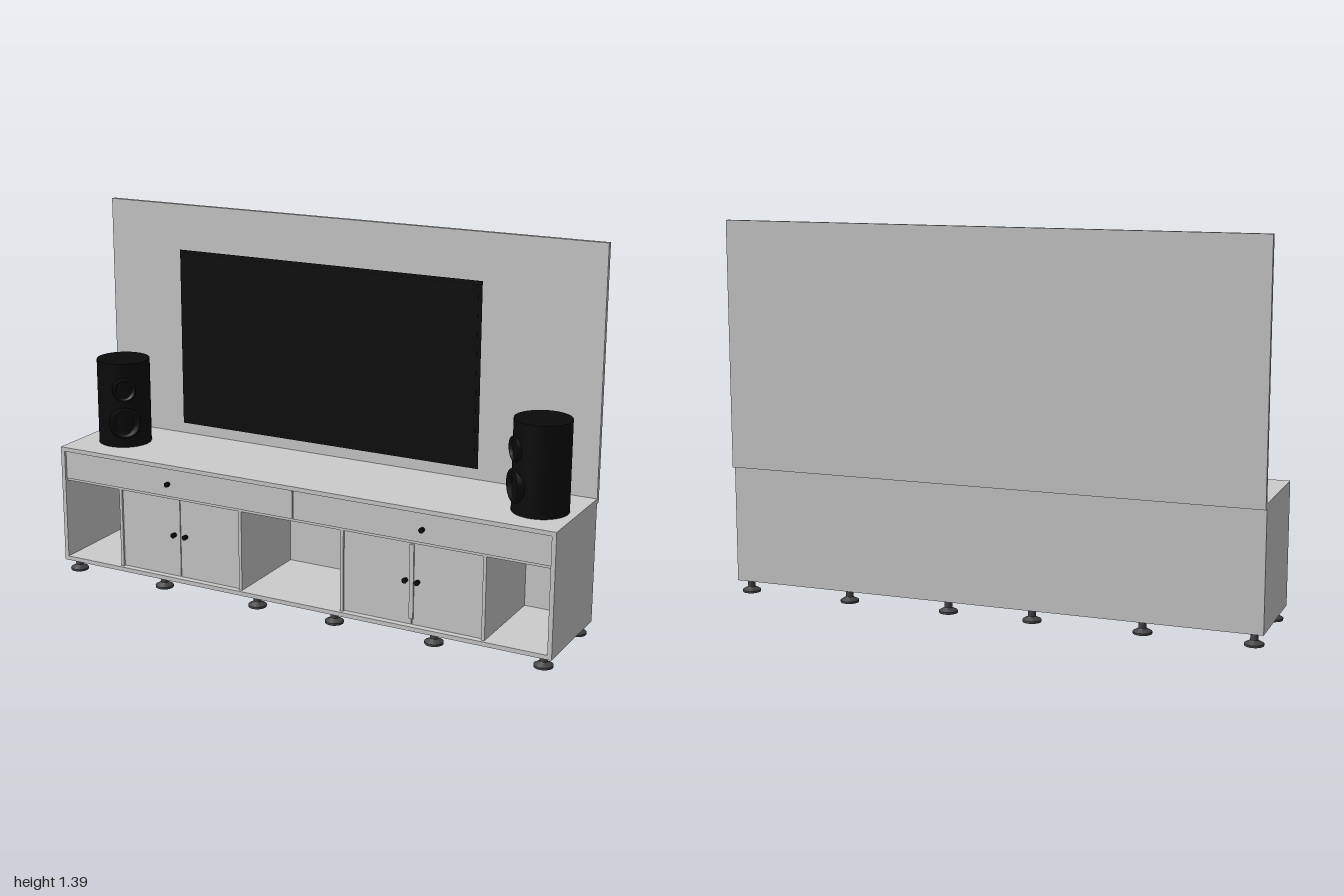
import * as THREE from 'three';

const mat = (color, extra = {}) => new THREE.MeshStandardMaterial({ color, ...extra });
const grey = mat(0xcccccc);
const black = mat(0x0a0a0a);
const blackFlat = mat(0x0a0a0a, { flatShading: true });
const metal = mat(0x444444);

function add(parent, name, geometry, material, x = 0, y = 0, z = 0) {
  const mesh = new THREE.Mesh(geometry, material);
  mesh.name = name;
  mesh.position.set(x, y, z);
  parent.add(mesh);
  return mesh;
}

// Box given by its min and max on each axis
function block(parent, name, [x0, x1], [y0, y1], [z0, z1], material = grey) {
  return add(parent, name, new THREE.BoxGeometry(x1 - x0, y1 - y0, z1 - z0), material,
    (x0 + x1) / 2, (y0 + y1) / 2, (z0 + z1) / 2);
}

function knob(parent, x, y, z) {
  const geo = new THREE.CylinderGeometry(0.01, 0.008, 0.016, 16).rotateX(Math.PI / 2);
  add(parent, 'knob', geo, black, x, y, z + 0.008);
}

function group(parent, name) {
  const g = new THREE.Group();
  g.name = name;
  parent.add(g);
  return g;
}

function buildCabinet(root) {
  const g = group(root, 'cabinet');
  const back = -0.187, front = 0.2, t = 0.016;
  // Carcass
  block(g, 'cabinetTop', [-1, 1], [0.484, 0.5], [back, front]);
  block(g, 'cabinetFloor', [-1, 1], [0.045, 0.061], [back, front]);
  block(g, 'cabinetBack', [-1 + t, 1 - t], [0.061, 0.484], [back, back + 0.012]);
  for (const s of [-1, 1]) {
    block(g, 'cabinetSide', s < 0 ? [-1, -1 + t] : [1 - t, 1], [0.061, 0.484], [back, front]);
  }
  block(g, 'drawerShelf', [-1 + t, 1 - t], [0.366, 0.38], [back + 0.012, 0.188]);
  for (const x of [-0.74, -0.218, 0.2, 0.745]) {
    block(g, 'divider', [x - 0.006, x + 0.006], [0.061, 0.366], [back + 0.012, 0.188]);
  }
  // Drawers
  for (const [x0, x1, kx] of [[-0.982, 0.002, -0.52], [0.007, 0.982, 0.515]]) {
    block(g, 'drawerFront', [x0, x1], [0.376, 0.482], [0.175, 0.193]);
    knob(g, kx, 0.425, 0.193);
  }
  // Door pairs
  for (const [x0, mid, x1, k0, k1] of [[-0.734, -0.48, -0.224, -0.505, -0.455], [0.206, 0.472, 0.739, 0.448, 0.495]]) {
    block(g, 'door', [x0, mid - 0.0015], [0.063, 0.365], [0.165, 0.18]);
    block(g, 'door', [mid + 0.0015, x1], [0.063, 0.365], [0.165, 0.18]);
    knob(g, k0, 0.225, 0.18);
    knob(g, k1, 0.225, 0.18);
  }
  block(g, 'doorStrip', [0.463, 0.479], [0.085, 0.36], [0.178, 0.186]);
}

function buildFeet(root) {
  const g = group(root, 'feet');
  const profile = [[0, 0], [0.034, 0], [0.034, 0.008], [0.016, 0.018], [0.014, 0.02], [0.014, 0.046]]
    .map(([r, y]) => new THREE.Vector2(r, y));
  const geo = new THREE.LatheGeometry(profile, 20);
  const footMat = mat(0x444444, { flatShading: true });
  for (const x of [-0.963, -0.57, -0.163, 0.157, 0.55, 0.957]) {
    for (const z of [-0.16, 0.16]) add(g, 'foot', geo, footMat, x, 0, z);
  }
}

// Rectangular rings [half width, half height, z], lofted and capped at both ends
function loftRects(rings) {
  const pos = [], idx = [];
  for (const [w, h, z] of rings) pos.push(-w, -h, z, w, -h, z, w, h, z, -w, h, z);
  for (let r = 0; r < rings.length - 1; r++) {
    for (let i = 0; i < 4; i++) {
      const a = r * 4 + i, b = r * 4 + (i + 1) % 4;
      idx.push(a, a + 4, b, b, a + 4, b + 4);
    }
  }
  const e = (rings.length - 1) * 4;
  idx.push(0, 1, 2, 0, 2, 3, e, e + 2, e + 1, e, e + 3, e + 2);
  const geo = new THREE.BufferGeometry();
  geo.setAttribute('position', new THREE.Float32BufferAttribute(pos, 3));
  geo.setIndex(idx);
  const flat = geo.toNonIndexed();
  flat.computeVertexNormals();
  return flat;
}

function buildTelevision(root) {
  const g = group(root, 'television');
  g.position.set(0.01, 0.924, 0);
  // Shell tapering towards the wall
  add(g, 'televisionBody', loftRects([
    [0.605, 0.332, -0.035], [0.565, 0.304, -0.055], [0.39, 0.22, -0.106],
    [0.115, 0.07, -0.12], [0.07, 0.044, -0.142],
  ]), blackFlat);
  block(g, 'screen', [-0.59, 0.59], [-0.318, 0.318], [-0.036, -0.034], black);
  // Wall mount
  block(g, 'mountArm', [-0.035, 0.035], [-0.02, 0.02], [-0.172, -0.14], black);
  block(g, 'mountPlate', [-0.072, 0.072], [-0.04, 0.043], [-0.187, -0.17], black);
}

function buildSpeaker(root, name, x, z, yaw) {
  const g = group(root, name);
  g.position.set(x, 0.5, z);
  g.rotation.y = THREE.MathUtils.degToRad(yaw);
  add(g, 'speakerBody', new THREE.CylinderGeometry(0.1, 0.1, 0.325, 40), black, 0, 0.1625, 0);
  // Drivers: a dished cone inside a raised rim
  for (const [r, y] of [[0.06, 0.095], [0.045, 0.225]]) {
    const profile = [[0, 0.016], [r * 0.3, 0.012], [r * 0.4, 0.004], [r * 0.82, 0.018], [r * 0.92, 0.022], [r, 0.016], [r, -0.025]]
      .map(([pr, py]) => new THREE.Vector2(pr, py)).reverse();
    const geo = new THREE.LatheGeometry(profile, 32).rotateX(Math.PI / 2);
    add(g, 'speakerDriver', geo, mat(0x0a0a0a, { side: THREE.DoubleSide }), 0, y, 0.084);
  }
}

export function createModel() {
  const root = new THREE.Group();
  root.name = 'mediaUnit';
  buildCabinet(root);
  buildFeet(root);
  block(root, 'wallPanel', [-1, 1], [0.482, 1.395], [-0.204, -0.187]);
  buildTelevision(root);
  buildSpeaker(root, 'rightSpeaker', -0.835, 0.008, 35);
  buildSpeaker(root, 'leftSpeaker', 0.87, 0.016, -48);
  return root;
}
